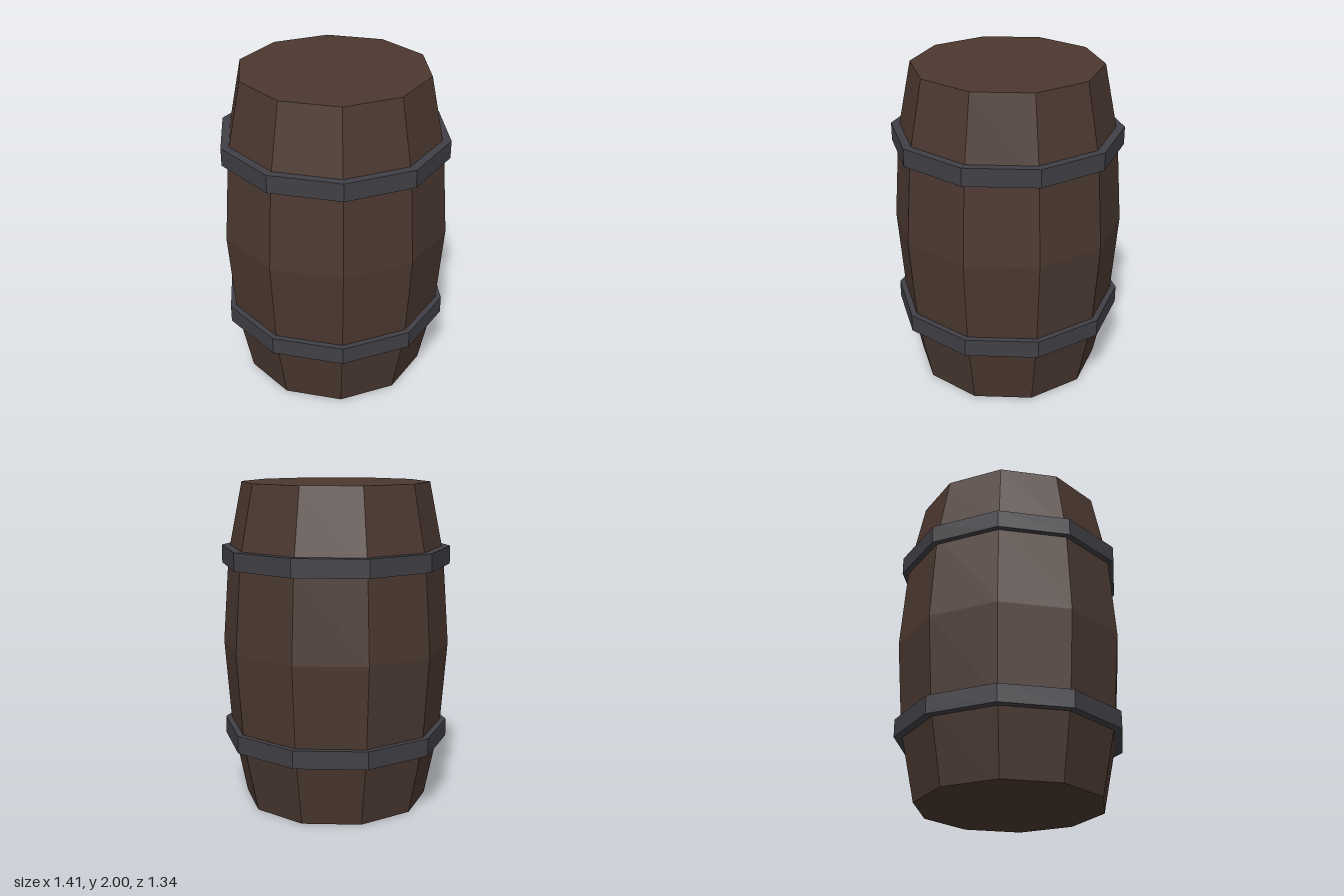
import * as THREE from 'three';

const SIDES = 10;

// Faceted ten-sided revolve with corners on the x axis; profile is [radius, y] pairs
function facetedLathe(profile) {
  const points = profile.map(([r, y]) => new THREE.Vector2(r, y));
  const geometry = new THREE.LatheGeometry(points, SIDES, Math.PI / 2).toNonIndexed();
  geometry.computeVertexNormals();
  return geometry;
}

export function createModel() {
  const wood = new THREE.MeshStandardMaterial({ color: 0x4b3830 });
  wood.name = 'darkWood';
  const iron = new THREE.MeshStandardMaterial({ color: 0x403f45 });
  iron.name = 'darkIron';

  const barrel = new THREE.Group();
  barrel.name = 'barrel';

  // Bulging staves with flat lids
  const body = new THREE.Mesh(facetedLathe([
    [0, 0], [0.576, 0], [0.666, 0.443], [0.707, 1], [0.666, 1.557], [0.576, 2], [0, 2],
  ]), wood);
  body.name = 'barrelBody';
  barrel.add(body);

  // Two iron hoops, sunk slightly into the staves
  const inner = 0.64, outer = 0.707, half = 0.055;
  const hoopGeometry = facetedLathe([
    [inner, -half], [outer, -half], [outer, half], [inner, half], [inner, -half],
  ]);
  for (const [name, y] of [['lowerHoop', 0.445], ['upperHoop', 1.555]]) {
    const hoop = new THREE.Mesh(hoopGeometry, iron);
    hoop.name = name;
    hoop.position.y = y;
    barrel.add(hoop);
  }

  return barrel;
}
